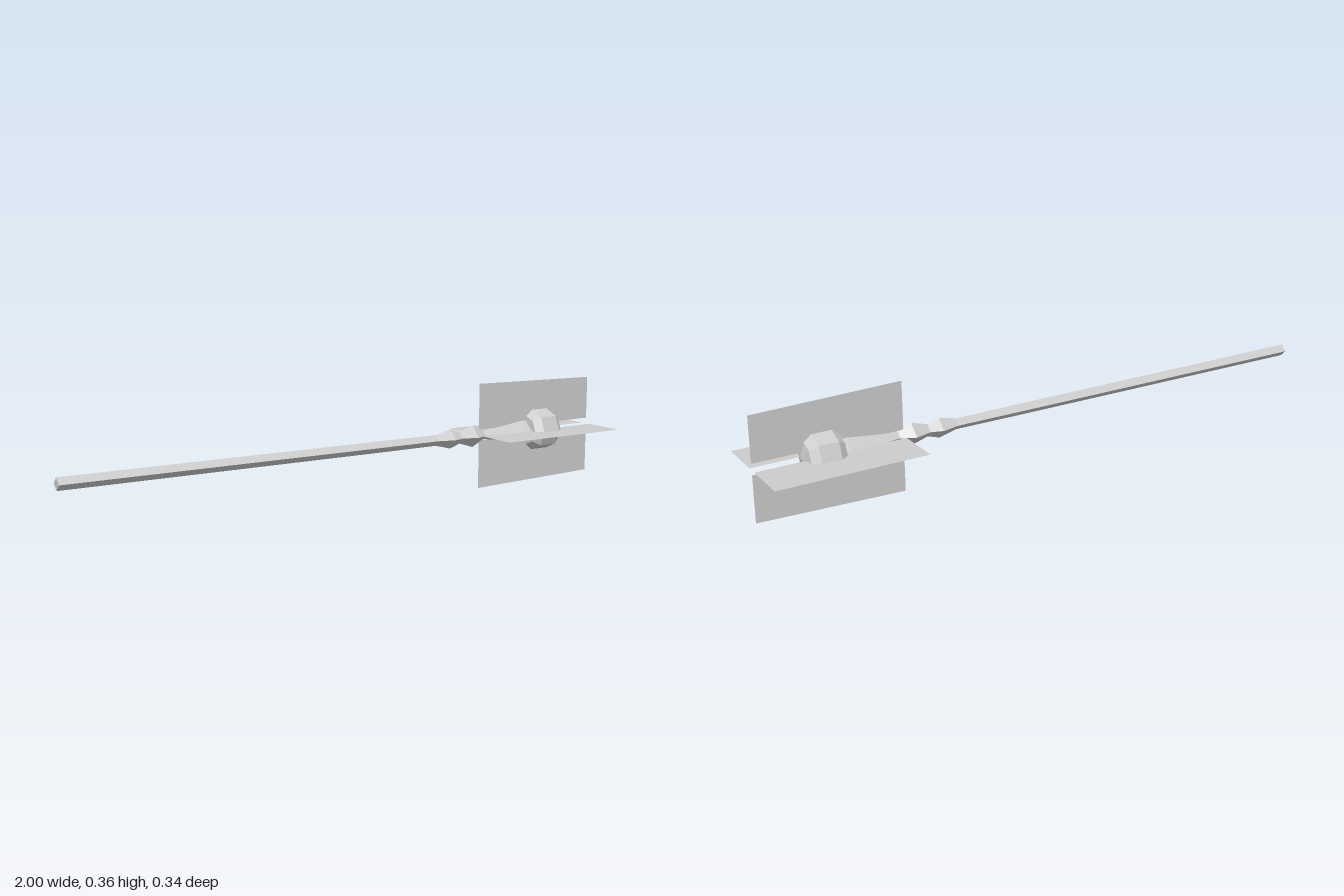
import * as THREE from 'three';

const AXIS_Y = 0.183;

export function createModel() {
  const group = new THREE.Group();
  const steel = new THREE.MeshStandardMaterial({ color: 0xcccccc, flatShading: true, side: THREE.DoubleSide });
  steel.name = 'pale steel';

  // Turned part lying along x; profile is [x, radius] pairs
  const turned = (name, profile, sides) => {
    const points = profile.map(([x, r]) => new THREE.Vector2(r, x));
    const mesh = new THREE.Mesh(new THREE.LatheGeometry(points, sides), steel);
    mesh.name = name;
    mesh.rotation.z = -Math.PI / 2;
    mesh.position.y = AXIS_Y;
    group.add(mesh);
  };

  // Square shaft, set on edge
  turned('shaft', [[-1, 0], [-1, 0.02], [0.1, 0.019], [0.33, 0.018]], 4);

  // Two grip knobs and the flaring neck
  turned('collar', [[0.33, 0.018], [0.39, 0.033], [0.43, 0.02], [0.485, 0.037], [0.53, 0.014]], 4);
  turned('neck', [[0.53, 0.014], [0.7, 0.035], [0.73, 0.035]], 4);

  // Faceted head with a blunt tip
  turned('head', [[0.715, 0], [0.72, 0.05], [0.745, 0.07], [0.81, 0.07], [0.835, 0.05], [0.847, 0]], 8);

  // Four thin fins around the head: inner edge, outer edge at the back, outer edge at the tip
  const fins = [
    ['upperFin', 0, 0.02, 0.178, 0.168],
    ['frontFin', Math.PI / 2, 0.016, 0.167, 0.167],
    ['lowerFin', Math.PI, 0.016, 0.183, 0.169],
    ['rearFin', -Math.PI / 2, 0.02, 0.173, 0.173],
  ];
  for (const [name, angle, inner, outerBack, outerTip] of fins) {
    const shape = new THREE.Shape([
      new THREE.Vector2(0.512, inner),
      new THREE.Vector2(0.998, inner),
      new THREE.Vector2(0.998, outerTip),
      new THREE.Vector2(0.512, outerBack),
    ]);
    const fin = new THREE.Mesh(new THREE.ShapeGeometry(shape), steel);
    fin.name = name;
    fin.rotation.x = angle;
    fin.position.y = AXIS_Y;
    group.add(fin);
  }

  return group;
}
